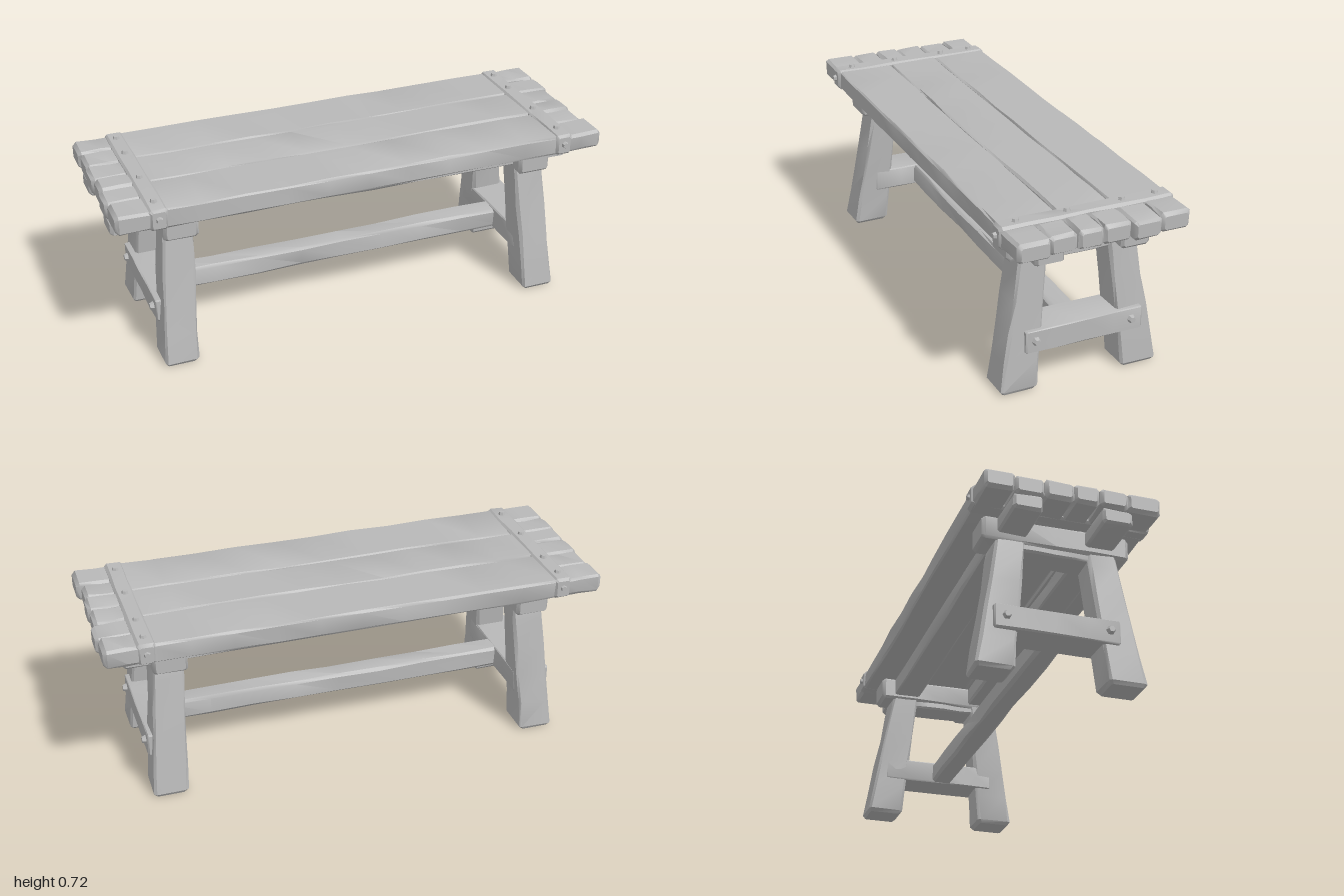
import * as THREE from 'three';
import { toCreasedNormals } from 'three/addons/utils/BufferGeometryUtils.js';

const wood = new THREE.MeshStandardMaterial({ color: 0xb8b8b8 });
wood.name = 'weathered wood';

// Seeded noise for the rough-hewn surface
let seed = 7;
const rough = (amount) => {
  seed = (seed * 16807) % 2147483647;
  return (seed / 2147483647 - 0.5) * 2 * amount;
};

// Section axes (u, v) for beams running along x, y or z
const AXES = {
  x: [new THREE.Vector3(0, 1, 0), new THREE.Vector3(0, 0, 1)],
  y: [new THREE.Vector3(0, 0, 1), new THREE.Vector3(1, 0, 0)],
  z: [new THREE.Vector3(1, 0, 0), new THREE.Vector3(0, 1, 0)],
};

// Chamfered beam lofted from centre a to b; size0/size1 are [u, v] widths at each end
function beam(name, axis, a, b, size0, size1 = size0, bevel = 0.012, wobble = 0.002, steps = 4) {
  const [u, v] = AXES[axis];
  const start = new THREE.Vector3(...a), end = new THREE.Vector3(...b);
  const edge = bevel / start.distanceTo(end);
  const stops = [0, edge];
  for (let i = 1; i < steps; i++) stops.push(i / steps);
  stops.push(1 - edge, 1);
  const points = [], index = [];
  stops.forEach((t, ring) => {
    const isEnd = ring === 0 || ring === stops.length - 1;
    const inset = isEnd ? bevel * 0.8 : 0;
    const hu = THREE.MathUtils.lerp(size0[0], size1[0], t) / 2 - inset;
    const hv = THREE.MathUtils.lerp(size0[1], size1[1], t) / 2 - inset;
    const c = isEnd ? bevel * 0.4 : bevel * 0.7;
    const section = [[hu, -hv + c], [hu, hv - c], [hu - c, hv], [-hu + c, hv],
      [-hu, hv - c], [-hu, -hv + c], [-hu + c, -hv], [hu - c, -hv]];
    const centre = start.clone().lerp(end, t);
    const k = isEnd ? 0 : wobble;
    for (const [p, q] of section) {
      const point = centre.clone().addScaledVector(u, p + rough(k)).addScaledVector(v, q + rough(k));
      points.push(...point.toArray());
    }
  });
  for (let r = 0; r < stops.length - 1; r++) {
    for (let i = 0; i < 8; i++) {
      const p = r * 8 + i, q = r * 8 + (i + 1) % 8;
      index.push(p, q, q + 8, p, q + 8, p + 8);
    }
  }
  const last = (stops.length - 1) * 8;
  for (let i = 1; i < 7; i++) index.push(0, i + 1, i, last, last + i, last + i + 1);
  const geometry = new THREE.BufferGeometry();
  geometry.setAttribute('position', new THREE.Float32BufferAttribute(points, 3));
  geometry.setIndex(index);
  const mesh = new THREE.Mesh(toCreasedNormals(geometry, 0.6), wood);
  mesh.name = name;
  return mesh;
}

// Faceted peg head pointing along a direction
function peg(name, position, direction, radius = 0.018, depth = 0.024) {
  const geometry = toCreasedNormals(new THREE.CylinderGeometry(radius * 0.6, radius, depth, 6), 0.4);
  const mesh = new THREE.Mesh(geometry, wood);
  mesh.name = name;
  mesh.position.set(...position);
  mesh.quaternion.setFromUnitVectors(new THREE.Vector3(0, 1, 0), new THREE.Vector3(...direction));
  return mesh;
}

export function createModel() {
  const bench = new THREE.Group();
  bench.name = 'bench';

  // Seat planks between the end bands
  for (const [z0, z1] of [[-0.34, -0.112], [-0.11, 0.098], [0.1, 0.335]]) {
    const z = (z0 + z1) / 2;
    bench.add(beam('seatPlank', 'x', [-0.83, 0.661, z], [0.83, 0.661, z],
      [0.078, z1 - z0], undefined, 0.01, 0.003, 10));
  }

  // Short plank ends beyond the bands, of uneven length
  const cuts = [-0.342, -0.225, -0.112, 0, 0.1, 0.208, 0.338];
  const reach = [0.992, 1, 0.985, 0.99, 0.982, 1];
  for (const side of [-1, 1]) {
    for (let i = 0; i < 6; i++) {
      const z = (cuts[i] + cuts[i + 1]) / 2;
      const tip = side > 0 ? reach[i] : 1 - (i % 2) * 0.006;
      const ends = [side * 0.82, side * tip].sort((p, q) => p - q);
      const y = 0.66 + rough(0.003);
      bench.add(beam('plankEnd', 'x', [ends[0], y, z], [ends[1], y, z],
        [0.074, cuts[i + 1] - cuts[i] - 0.002], undefined, 0.014, 0.003, 2));
    }

    // Cross band over the seat with its pegs
    const bandX = side * 0.832;
    bench.add(beam('endBand', 'z', [bandX, 0.664, -0.348], [bandX, 0.664, 0.345],
      [0.07, 0.085], undefined, 0.012, 0.002, 6));
    for (const z of [-0.285, -0.15, 0.07, 0.27]) {
      bench.add(peg('bandPeg', [bandX, 0.706, z], [0, 1, 0]));
    }
    for (const z of [-1, 1]) {
      bench.add(peg('bandSidePeg', [bandX, 0.667, z * 0.345], [0, 0, z]));
    }

    // Splayed legs
    for (const z of [-1, 1]) {
      bench.add(beam('leg', 'y', [side * 0.773, 0, z * 0.25], [side * 0.732, 0.61, z * 0.168],
        [0.147, 0.135], [0.108, 0.122], 0.014, 0.003, 5));
    }

    // Leg head beam and the deeper panel between the legs
    bench.add(beam('legHeadBeam', 'z', [side * 0.737, 0.578, -0.288], [side * 0.737, 0.578, 0.286],
      [0.135, 0.095], undefined, 0.014));
    bench.add(beam('legPanel', 'z', [side * 0.737, 0.56, -0.15], [side * 0.737, 0.56, 0.15],
      [0.115, 0.112], undefined, 0.01));

    // Lower bar joining the leg pair, with pegs
    bench.add(beam('lowerCrossBar', 'z', [side * 0.766, 0.203, -0.255], [side * 0.766, 0.203, 0.225],
      [0.148, 0.092], undefined, 0.006));
    for (const z of [-0.208, 0.185]) {
      bench.add(peg('barPeg', [side * 0.845, 0.206, z], [side, 0, 0], 0.02, 0.022));
    }
  }

  // Rails under the seat
  for (const z of [-0.173, 0.168]) {
    bench.add(beam('seatRail', 'x', [-0.99, 0.592, z], [0.908, 0.586, z],
      [0.062, 0.114], [0.082, 0.114], 0.012, 0.003, 9));
  }

  // Long stretcher between the lower bars
  bench.add(beam('stretcher', 'x', [-0.72, 0.202, 0], [0.72, 0.202, 0],
    [0.084, 0.09], undefined, 0.016, 0.003, 8));

  return bench;
}
